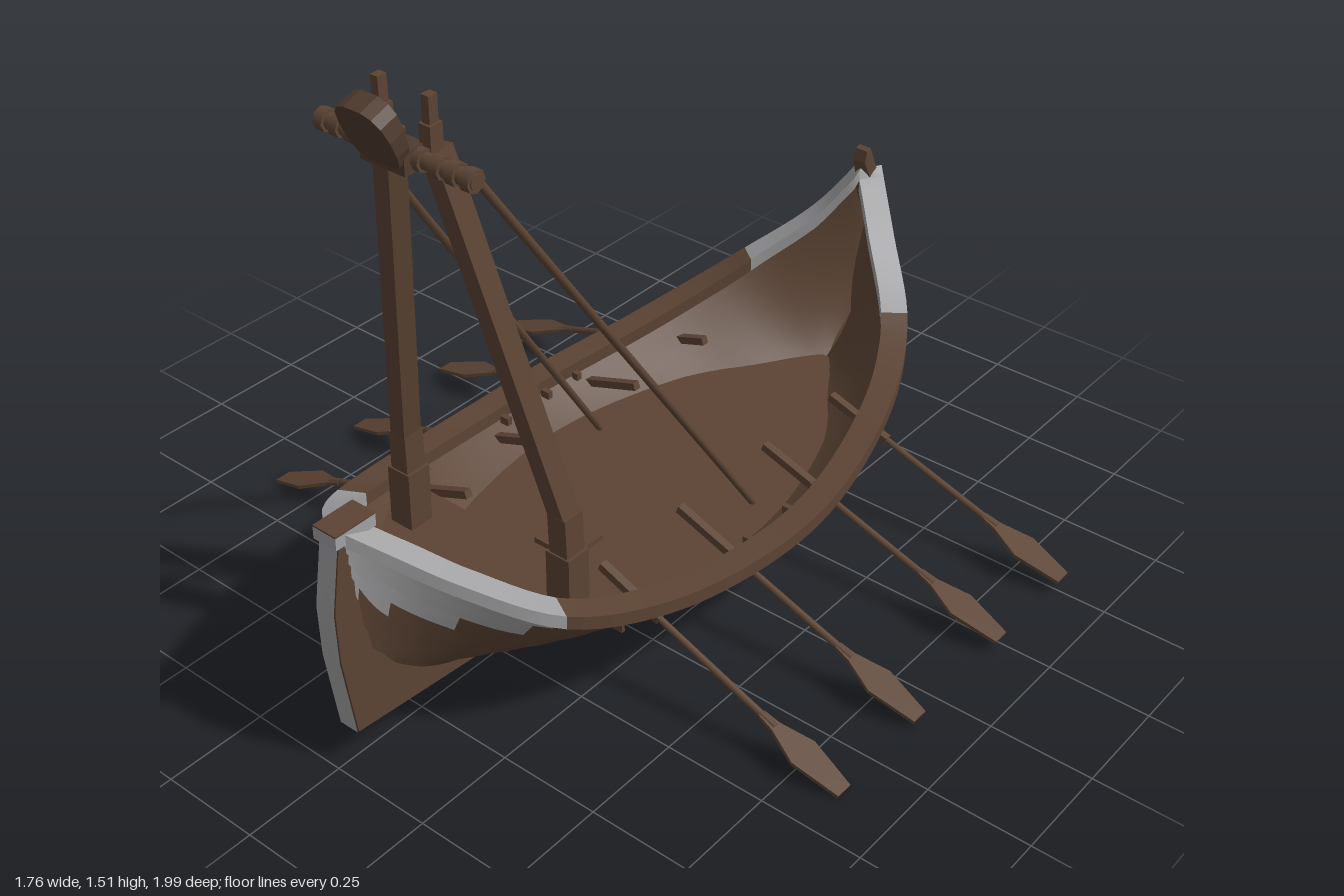
import * as THREE from 'three';
import { toCreasedNormals } from 'three/addons/utils/BufferGeometryUtils.js';

const V = (x, y, z) => new THREE.Vector3(x, y, z);
const wood = new THREE.MeshStandardMaterial({ color: 0x5c4434, side: THREE.DoubleSide });
const darkWood = new THREE.MeshStandardMaterial({ color: 0x4f3b2e, side: THREE.DoubleSide });
const greyPaint = new THREE.MeshStandardMaterial({ color: 0xa2a2a4, side: THREE.DoubleSide });
wood.name = 'wood'; darkWood.name = 'darkWood'; greyPaint.name = 'greyPaint';

// Sheer line (half width, height, z) and keel line (section power, height, z), bow to stern
const sheer = new THREE.CatmullRomCurve3([
  V(0.025, 0.61, 0.95), V(0.10, 0.55, 0.885), V(0.2, 0.475, 0.80), V(0.335, 0.365, 0.64),
  V(0.415, 0.295, 0.4), V(0.45, 0.258, 0.1), V(0.445, 0.258, -0.15), V(0.39, 0.288, -0.42),
  V(0.33, 0.335, -0.6), V(0.25, 0.405, -0.74), V(0.12, 0.53, -0.86), V(0.025, 0.67, -0.93)]);
const keel = new THREE.CatmullRomCurve3([
  V(1, 0.45, 0.955), V(1, 0.25, 0.91), V(1.1, 0.14, 0.80), V(1.4, 0.09, 0.64),
  V(2, 0.07, 0.4), V(2.2, 0.06, 0.1), V(2.2, 0.06, -0.15), V(2, 0.065, -0.42),
  V(1.5, 0.085, -0.6), V(1.2, 0.13, -0.76), V(1, 0.25, -0.89), V(1, 0.5, -0.95)]);
const SEG = 66, STRAKES = 8;

// Point on the hull: t along the length, u from keel to rail
function hullPoint(t, u, out = 0) {
  const s = sheer.getPoint(t), k = keel.getPoint(t);
  return V(s.x * u + out, k.y + (s.y - k.y) * Math.pow(u, k.x) - out, k.z + (s.z - k.z) * u);
}

// Collects quads and their mirror images
function quad(list, ...c) {
  for (const m of [1, -1]) {
    const o = m > 0 ? [0, 1, 2, 0, 2, 3] : [0, 2, 1, 0, 3, 2];
    for (const i of o) list.push(c[i].x * m, c[i].y, c[i].z);
  }
}

function add(parent, name, geo, mat) {
  const mesh = new THREE.Mesh(geo, mat);
  mesh.name = name;
  parent.add(mesh);
  return mesh;
}

function addQuads(parent, name, list, mat) {
  const geo = new THREE.BufferGeometry();
  geo.setAttribute('position', new THREE.Float32BufferAttribute(list, 3));
  return add(parent, name, toCreasedNormals(geo, 0.5), mat);
}

function plate(points, depth) {
  const shape = new THREE.Shape(points.map(p => new THREE.Vector2(...p)));
  return new THREE.ExtrudeGeometry(shape, { depth, bevelEnabled: false }).translate(0, 0, -depth / 2);
}

// Box or round spar between two points
function spar(parent, name, a, b, w, d, mat = wood, round = false) {
  const len = a.distanceTo(b);
  const geo = round ? new THREE.CylinderGeometry(w, d, len, 8) : new THREE.BoxGeometry(w, len, d);
  const mesh = add(parent, name, geo, mat);
  mesh.position.copy(a).lerp(b, 0.5);
  mesh.quaternion.setFromUnitVectors(V(0, 1, 0), b.clone().sub(a).normalize());
  return mesh;
}

function buildHull(g) {
  const planks = [], painted = [], inner = [], rail = [], railPaint = [];
  for (let i = 0; i < SEG; i++) {
    const t0 = i / SEG, t1 = (i + 1) / SEG, z = sheer.getPoint((t0 + t1) / 2).z;
    // Worn edge of the paint, lower at the bow than at the stern
    const end = Math.min(i, SEG - 1 - i) / (z > 0 ? 18 : 12);
    const paintFrom = (z > 0 ? 0.38 + 0.45 * end : 0.55 + 0.3 * end) + [0, 0.05, -0.03, 0.03][i % 4];
    for (let j = 0; j < STRAKES; j++) {
      const u0 = j / STRAKES, u1 = (j + 1) / STRAKES;
      const list = end < 1 && (u0 + u1) / 2 > paintFrom ? painted : planks;
      const lap = j ? 0.005 : 0;
      const a = hullPoint(t0, u0, lap), b = hullPoint(t1, u0, lap);
      quad(list, a, hullPoint(t0, u1), hullPoint(t1, u1), b);
      if (j) quad(list, hullPoint(t0, u0), a, b, hullPoint(t1, u0));
      const inside = (t, u) => {
        const p = hullPoint(t, u);
        return p.set(Math.max(0, p.x - 0.025 * u), p.y + 0.02 * (1 - u), p.z);
      };
      quad(inner, inside(t0, u0), inside(t1, u0), inside(t1, u1), inside(t0, u1));
    }
    // Rail section, offset square to the sheer line
    const section = t => {
      const p = sheer.getPoint(t), d = sheer.getTangent(t);
      const l = Math.hypot(d.x, d.z), nx = -d.z / l, nz = d.x / l;
      const at = (o, y) => V(Math.max(0, p.x + nx * o), p.y + y, p.z + nz * o);
      return [at(0.008, -0.028), at(0.008, 0.006), at(-0.058, 0.006), at(-0.058, -0.028)];
    };
    const s0 = section(t0), s1 = section(t1);
    for (let k = 0; k < 4; k++) {
      const n = (k + 1) % 4;
      quad(z > 0.63 || z < -0.73 ? railPaint : rail, s0[k], s0[n], s1[n], s1[k]);
    }
  }
  addQuads(g, 'hullPlanks', planks, wood);
  addQuads(g, 'paintedPlanks', painted, greyPaint);
  addQuads(g, 'innerHull', inner, wood);
  addQuads(g, 'rail', rail, wood);
  addQuads(g, 'paintedRail', railPaint, greyPaint);
}

// Flat deck reaching just inside the hull at height y
function buildDeck(g, name, y, from, to) {
  const list = [];
  const edge = t => {
    const s = sheer.getPoint(t), k = keel.getPoint(t);
    const u = Math.pow(Math.max(0, (y - k.y) / (s.y - k.y)), 1 / k.x);
    return V(Math.max(0, s.x * u - 0.02), y, k.z + (s.z - k.z) * u);
  };
  for (let i = 0; i < 30; i++) {
    const a = edge(from + (to - from) * i / 30), b = edge(from + (to - from) * (i + 1) / 30);
    quad(list, V(0, y, a.z), a, b, V(0, y, b.z));
  }
  addQuads(g, name, list, wood);
}

function buildKeel(g) {
  const pts = [[0.9, 0.6], [0.965, 0.6], [0.992, 0.43], [0.988, 0.3], [0.957, 0.09], [0.6, 0.06], [0, 0.03],
    [-0.5, 0.04], [-0.945, 0.09], [-0.985, 0.27], [-0.998, 0.37], [-0.985, 0.48], [-0.96, 0.57], [-0.925, 0.66],
    [-0.9, 0.735], [-0.885, 0.73], [-0.877, 0.7], [-0.905, 0.63],
    [-0.93, 0.5], [-0.88, 0.25], [-0.76, 0.14], [-0.5, 0.085], [0, 0.075], [0.5, 0.09], [0.78, 0.15], [0.9, 0.28], [0.93, 0.45]];
  const geo = plate(pts, 0.052);
  // Narrow the tip of the stern post
  const p = geo.attributes.position;
  for (let i = 0; i < p.count; i++) if (p.getY(i) > 0.69) p.setZ(i, p.getZ(i) * 0.65);
  geo.rotateY(-Math.PI / 2).computeVertexNormals();
  add(g, 'keelAndStems', geo, wood);
  // Painted face of the bow stem
  const face = [];
  for (let i = 1; i < 4; i++) {
    const [z0, y0] = pts[i], [z1, y1] = pts[i + 1];
    quad(face, V(0, y0, z0 + 0.004), V(0.026, y0, z0 + 0.004), V(0.026, y1, z1 + 0.004), V(0, y1, z1 + 0.004));
  }
  addQuads(g, 'paintedStemFace', face, greyPaint);
  add(g, 'bowBlock', new THREE.BoxGeometry(0.066, 0.03, 0.11), greyPaint).position.set(0, 0.604, 0.925);
  add(g, 'bowBlockCap', new THREE.BoxGeometry(0.066, 0.004, 0.11), wood).position.set(0, 0.621, 0.925);
}

function buildFrame(g) {
  for (const m of [1, -1]) {
    const foot = add(g, 'legFoot', new THREE.BoxGeometry(0.065, 0.15, 0.065), wood);
    foot.position.set(0.237 * m, 0.345, 0.522);
    const bend = V(0.235 * m, 0.51, 0.525), top = V(0.064 * m, 1.38, 0.675);
    spar(g, 'lowerLeg', V(0.237 * m, 0.4, 0.522), bend.clone().setY(0.52), 0.05, 0.056);
    spar(g, 'upperLeg', bend, top, 0.043, 0.052);
    spar(g, 'legHornBase', V(0.064 * m, 1.34, 0.685), V(0.066 * m, 1.44, 0.687), 0.03, 0.034);
    spar(g, 'legHorn', V(0.066 * m, 1.43, 0.687), V(0.067 * m, 1.5, 0.688), 0.02, 0.024);
    spar(g, 'stayPole', V(0.165 * m, 1.37, 0.69), V(0.24 * m, 0.16, -0.14), 0.009, 0.01, wood, true);
    for (const x of [0.065, 0.115, 0.155, 0.195])
      spar(g, 'barRing', V((x - 0.012) * m, 1.373, 0.715), V((x + 0.012) * m, 1.373, 0.715), 0.025, 0.025, wood, true);
  }
  spar(g, 'crossbar', V(-0.21, 1.373, 0.715), V(0.21, 1.373, 0.715), 0.018, 0.018, wood, true);
  add(g, 'lashing', new THREE.BoxGeometry(0.12, 0.05, 0.06), darkWood).position.set(0, 1.373, 0.725);
  // Rounded head board, thicker at the top
  const half = [[0.035, 0], [0.056, 0.014], [0.066, 0.045], [0.068, 0.085], [0.061, 0.12], [0.046, 0.14], [0.022, 0.15]];
  const geo = plate([...half, ...half.map(([x, y]) => [-x, y]).reverse()], 0.05);
  const p = geo.attributes.position;
  for (let i = 0; i < p.count; i++) p.setZ(i, p.getZ(i) * (0.55 + 3 * p.getY(i)));
  geo.computeVertexNormals();
  const head = add(g, 'headBoard', geo, darkWood);
  head.position.set(0, 1.363, 0.745);
  head.rotation.x = 0.36;
}

function buildOar(angle) {
  const oar = new THREE.Group();
  oar.name = 'oar';
  const arm = new THREE.Group();
  arm.position.set(0.38, 0.2, 0);
  arm.rotation.z = -angle;
  spar(arm, 'oarGrip', V(-0.19, 0, 0), V(-0.01, 0, 0), 0.02, 0.02);
  spar(arm, 'oarShaft', V(-0.01, 0, 0), V(0.33, 0, 0), 0.009, 0.008, wood, true);
  const half = [[0.29, 0.01], [0.33, 0.014], [0.41, 0.042], [0.527, 0.022]];
  const geo = plate([...half, ...half.map(([x, y]) => [x, -y]).reverse()], 0.009);
  add(arm, 'oarBlade', geo.rotateX(Math.PI / 2), wood);
  oar.add(arm);
  return oar;
}

export function createModel() {
  const g = new THREE.Group();
  g.name = 'rowingBoat';
  buildHull(g);
  buildKeel(g);
  buildDeck(g, 'floor', 0.165, 2 / 11, 9.1 / 11);
  buildDeck(g, 'foreDeck', 0.27, 1 / 11, 3.92 / 11);
  add(g, 'foreDeckEdge', new THREE.BoxGeometry(0.62, 0.1, 0.01), wood).position.set(0, 0.22, 0.426);
  add(g, 'floorHatch', new THREE.BoxGeometry(0.115, 0.016, 0.11), wood).position.set(0, 0.171, 0.255);
  buildFrame(g);

  // Four pairs of oars
  [[0.372, 0.38], [0.095, 0.35], [-0.232, 0.325], [-0.507, 0.32]].forEach(([z, angle]) => {
    for (const m of [1, -1]) {
      const oar = buildOar(angle);
      oar.position.z = z;
      if (m < 0) oar.rotation.y = Math.PI;
      g.add(oar);
    }
  });
  // Small cleats along the inner rail
  for (const z of [0.34, 0.06, -0.09, -0.2]) for (const m of [1, -1])
    add(g, 'railCleat', new THREE.BoxGeometry(0.025, 0.02, 0.015), wood).position.set(0.375 * m, 0.235, z);
  return g;
}
